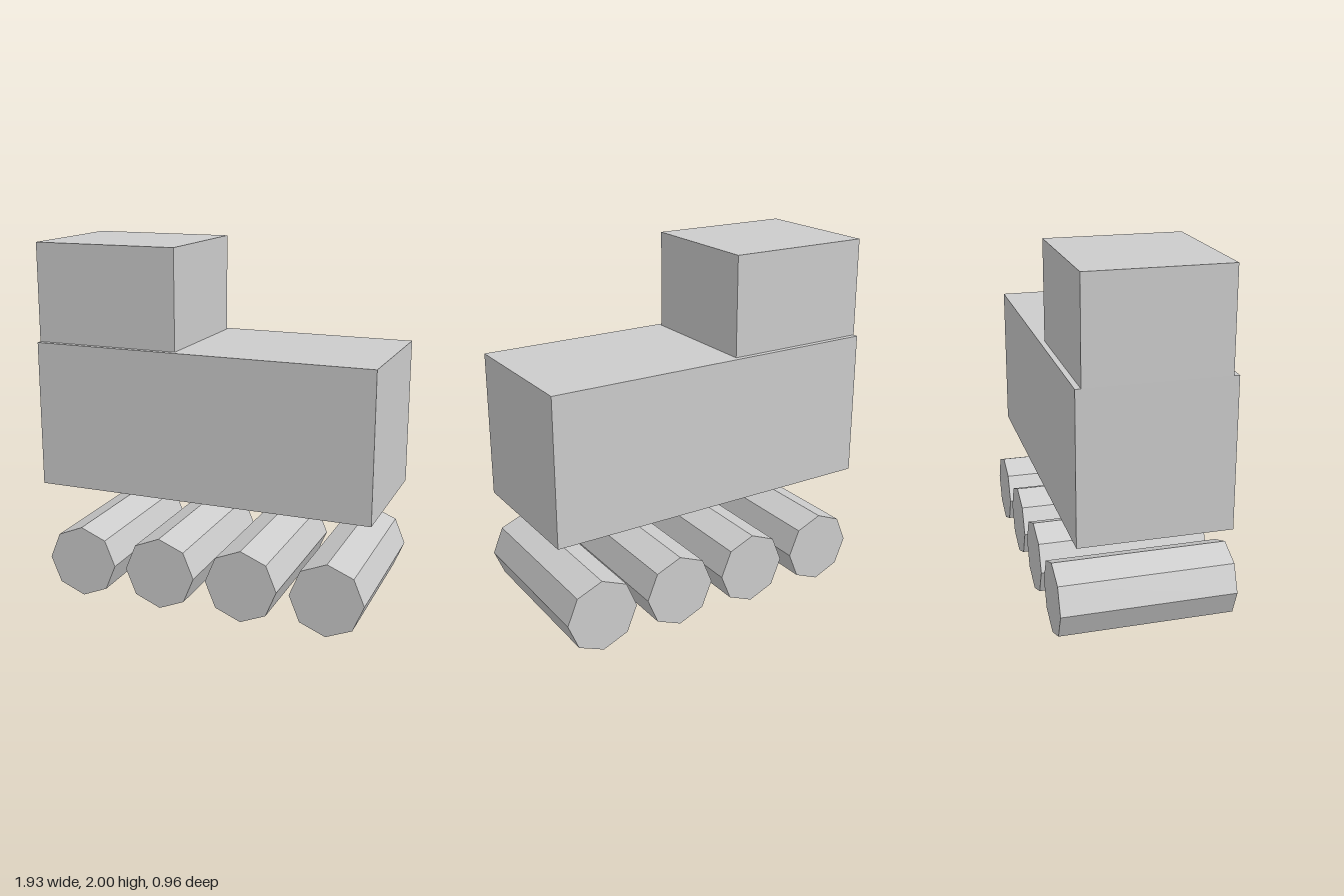
import * as THREE from 'three';

export function createModel() {
  const model = new THREE.Group();
  const material = new THREE.MeshStandardMaterial({ color: 0xcccccc, flatShading: true });

  const add = (name, geometry, x, y, z = 0) => {
    const mesh = new THREE.Mesh(geometry, material);
    mesh.name = name;
    mesh.position.set(x, y, z);
    model.add(mesh);
    return mesh;
  };

  // Long main body, with the cab flush against its -x end
  add('body', new THREE.BoxGeometry(1.93, 0.824, 0.82), 0, 1.036);
  add('cab', new THREE.BoxGeometry(0.824, 0.552, 0.76), -0.553, 1.724);

  // Four octagonal rollers running across the full width, a corner pointing up
  const radius = 0.206;
  const rollerGeometry = new THREE.CylinderGeometry(radius, radius, 0.96, 8);
  rollerGeometry.rotateX(Math.PI / 2);
  for (let i = 0; i < 4; i++) {
    add(`wheelRoller${i + 1}`, rollerGeometry, -0.69 + i * 0.482, radius);
  }

  return model;
}
